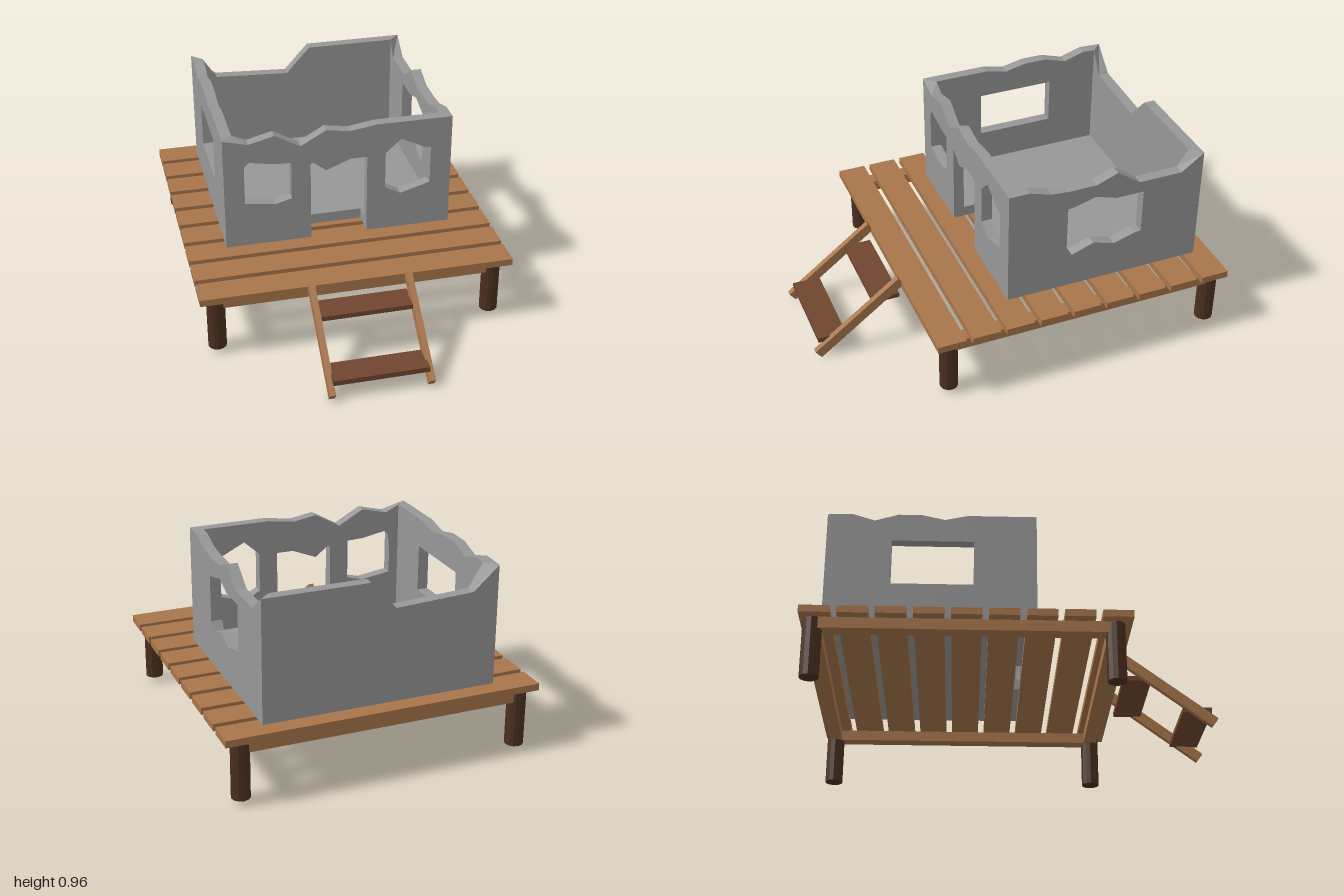
import * as THREE from 'three';

export function createModel() {
  const model = new THREE.Group();
  model.name = 'ruinedHutOnDeck';

  const mat = (name, color, flatShading = false) => {
    const m = new THREE.MeshStandardMaterial({ color, flatShading });
    m.name = name;
    return m;
  };
  const wood = mat('plank wood', 0xa8754a);
  const treadWood = mat('tread wood', 0x6f452e);
  const postWood = mat('post wood', 0x4a2f1f, true);
  const stone = mat('grey stone', 0x979797);

  const add = (name, geometry, material, parent = model) => {
    const mesh = new THREE.Mesh(geometry, material);
    mesh.name = name;
    parent.add(mesh);
    return mesh;
  };
  // Box given by its extents along each axis
  const box = (name, material, [x0, x1], [y0, y1], [z0, z1], parent) => {
    const mesh = add(name, new THREE.BoxGeometry(x1 - x0, y1 - y0, z1 - z0), material, parent);
    mesh.position.set((x0 + x1) / 2, (y0 + y1) / 2, (z0 + z1) / 2);
    return mesh;
  };
  const group = (name) => {
    const g = new THREE.Group();
    g.name = name;
    model.add(g);
    return g;
  };

  // Deck planks
  const deck = group('deck');
  for (let i = 0; i < 9; i++) {
    const z = -1 + i * 0.1745;
    box('plank', wood, [-0.785, 0.785], [0.32, 0.355], [z, z + 0.143], deck);
  }

  // Beams and posts under the deck
  const frame = group('frame');
  const postX = 0.7;
  for (const s of [-1, 1]) {
    box('sideBeam', wood, [s * postX - 0.035, s * postX + 0.035], [0.265, 0.32], [-0.94, 0.46], frame);
  }
  for (const z of [-0.94, 0.46]) {
    box('crossBeam', wood, [-0.665, 0.665], [0.265, 0.32], [z - 0.035, z + 0.035], frame);
    for (const s of [-1, 1]) {
      const post = add('post', new THREE.CylinderGeometry(0.046, 0.046, 0.289, 12), postWood, frame);
      post.position.set(s * postX, 0.1745, z);
    }
  }

  // Steps: two sloping stringers and two treads
  const steps = group('steps');
  for (const s of [-1, 1]) {
    const stringer = add('stringer', new THREE.BoxGeometry(0.03, 0.05, 0.557), wood, steps);
    stringer.position.set(s * 0.243, 0.19, 0.7625);
    stringer.rotation.x = Math.atan2(0.335, 0.445);
  }
  box('upperTread', treadWood, [-0.235, 0.235], [0.245, 0.27], [0.545, 0.685], steps);
  box('lowerTread', treadWood, [-0.235, 0.235], [0.08, 0.107], [0.833, 0.975], steps);

  // Broken walls: extruded outlines, mitred at the corners by pulling in the inner face
  const hut = group('hut');
  const T = 0.055, HX = 0.5825, HZ = 0.51, CZ = -0.405, BASE = 0.355, TOP = 0.96;
  const wall = (name, outline, holes, toU, half, dist, angle) => {
    const pts = (list) => list.map(([s, y]) => new THREE.Vector2(toU(s), y));
    const shape = new THREE.Shape(pts(outline));
    holes.forEach((h) => shape.holes.push(new THREE.Path(pts(h))));
    const geo = new THREE.ExtrudeGeometry(shape, { depth: T, bevelEnabled: false });
    const p = geo.attributes.position;
    for (let i = 0; i < p.count; i++) {
      if (p.getZ(i) < T / 2) p.setX(i, THREE.MathUtils.clamp(p.getX(i), T - half, half - T));
    }
    geo.computeVertexNormals();
    geo.translate(0, 0, dist - T);
    const mesh = add(name, geo, stone, hut);
    mesh.rotation.y = angle;
    mesh.position.z = CZ;
  };

  wall('frontWall', [
    [-HX, BASE], [-0.145, BASE], [-0.145, 0.78], [-0.13, 0.785], [-0.065, 0.735],
    [0.06, 0.785], [0.145, 0.785], [0.145, BASE], [HX, BASE], [HX, TOP], [0.19, TOP],
    [0.055, 0.94], [-0.065, TOP], [-0.195, 0.887], [-0.325, TOP], [-0.455, 0.927], [-HX, TOP],
  ], [
    [[-0.48, 0.597], [-0.325, 0.575], [-0.243, 0.597], [-0.243, 0.8], [-0.325, 0.803],
      [-0.455, 0.827], [-0.48, 0.8]],
    [[0.24, 0.595], [0.32, 0.552], [0.475, 0.597], [0.475, 0.8], [0.45, 0.8],
      [0.32, 0.865], [0.24, 0.793]],
  ], (x) => x, HX, HZ, 0);

  wall('backWall', [
    [-HX, BASE], [HX, BASE], [HX, TOP], [0.062, TOP], [-0.065, 0.82], [-0.455, 0.84], [-HX, 0.955],
  ], [], (x) => -x, HX, HZ, Math.PI);

  const z0 = CZ - HZ, z1 = CZ + HZ;
  wall('leftWall', [
    [z1, BASE], [z0, BASE], [z0, TOP], [-0.8, 0.875], [-0.575, 0.875], [-0.455, TOP],
    [-0.345, 0.917], [-0.2, 0.917], [-0.11, 0.925], [0, TOP], [z1, TOP],
  ], [
    [[-0.2, 0.578], [-0.23, 0.535], [-0.345, 0.578], [-0.455, 0.543], [-0.57, 0.578],
      [-0.6, 0.58], [-0.6, 0.815], [-0.455, 0.815], [-0.345, 0.85], [-0.235, 0.82], [-0.2, 0.815]],
  ], (z) => CZ - z, HZ, HX, Math.PI / 2);

  wall('rightWall', [
    [z0, BASE], [z1, BASE], [z1, TOP], [-0.23, TOP], [-0.343, 0.935], [-0.455, TOP],
    [-0.57, TOP], [-0.685, 0.925], [-0.797, TOP], [z0, 0.955],
  ], [
    [[-0.6, 0.58], [-0.2, 0.58], [-0.2, 0.815], [-0.6, 0.815]],
  ], (z) => z - CZ, HZ, HX, -Math.PI / 2);

  // Floor slab, notched behind the doorway
  const fx = HX - T, back = z0 + T, front = z1 - T, notch = -0.02;
  const floorShape = new THREE.Shape([
    [-fx, back], [fx, back], [fx, front], [0.145, front],
    [0.145, notch], [-0.145, notch], [-0.145, front], [-fx, front],
  ].map(([x, z]) => new THREE.Vector2(x, -z)));
  const floorGeo = new THREE.ExtrudeGeometry(floorShape, { depth: 0.055, bevelEnabled: false });
  floorGeo.rotateX(-Math.PI / 2);
  add('floor', floorGeo, stone, hut).position.y = BASE;

  return model;
}
